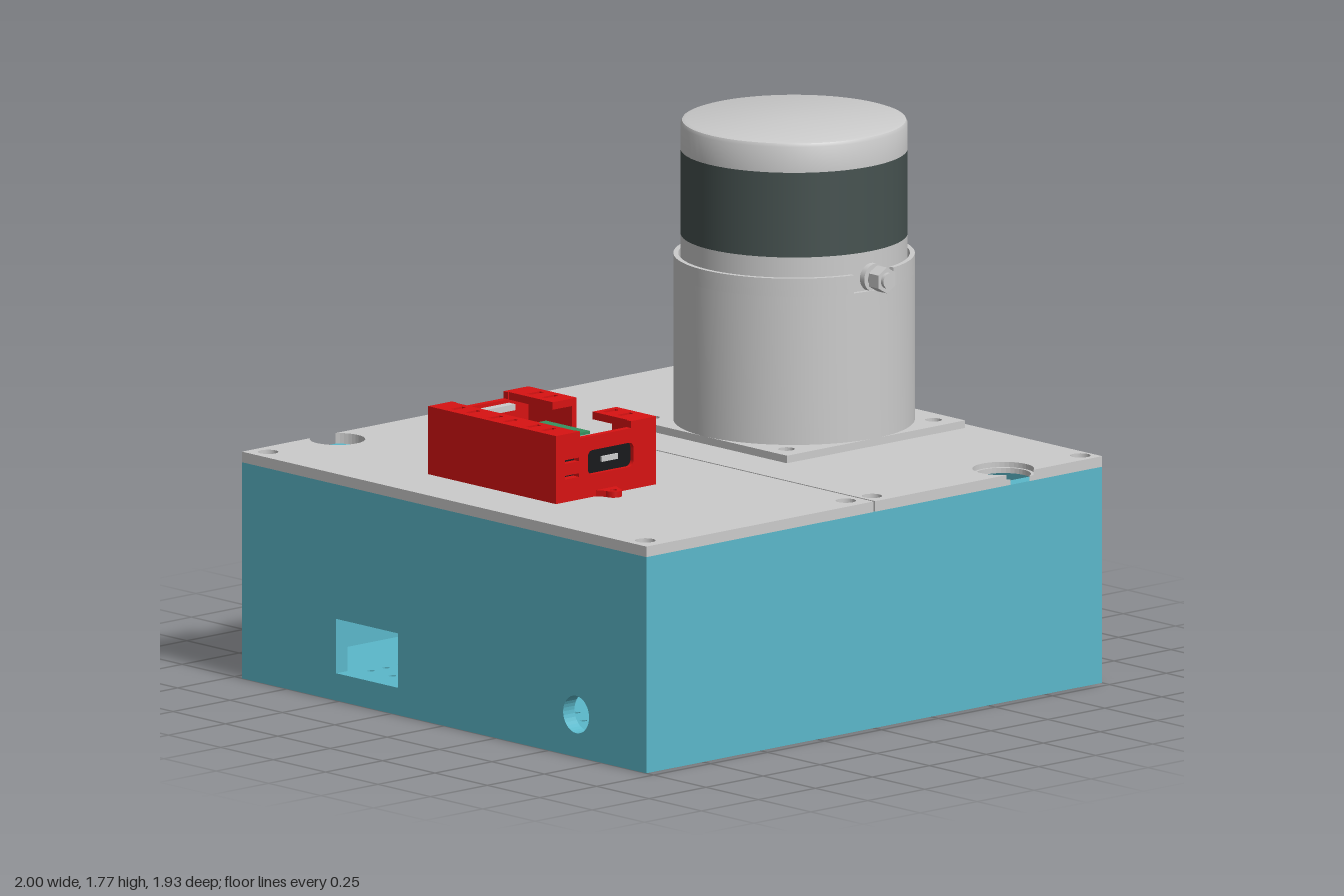
import * as THREE from 'three';
import { toCreasedNormals } from 'three/addons/utils/BufferGeometryUtils.js';

const W = 1, D = 0.965, T = 0.05;
const mat = (color) => new THREE.MeshStandardMaterial({ color });
const grey = mat(0xcccccc), teal = mat(0x5bb8ca), red = mat(0xd81212);
const dark = mat(0x465250), black = mat(0x181a1c), green = mat(0x36925f);

function add(parent, name, geo, material, x = 0, y = 0, z = 0) {
  const m = new THREE.Mesh(geo, material);
  m.name = name;
  m.position.set(x, y, z);
  parent.add(m);
  return m;
}

// Box given by its limits
function block(parent, name, material, x0, x1, y0, y1, z0, z1) {
  return add(parent, name, new THREE.BoxGeometry(x1 - x0, y1 - y0, z1 - z0), material,
    (x0 + x1) / 2, (y0 + y1) / 2, (z0 + z1) / 2);
}

function rect(x0, x1, y0, y1, Kind = THREE.Shape) {
  const s = new Kind();
  s.moveTo(x0, y0); s.lineTo(x1, y0); s.lineTo(x1, y1); s.lineTo(x0, y1); s.closePath();
  return s;
}
const hole = (x0, x1, y0, y1) => rect(x0, x1, y0, y1, THREE.Path);
const circle = (x, y, r) => new THREE.Path().absarc(x, y, r, 0, Math.PI * 2, true);

function extrude(shape, depth, segments = 16) {
  return new THREE.ExtrudeGeometry(shape, { depth, bevelEnabled: false, curveSegments: segments });
}
// Horizontal plate: shape coordinates are (x, -z), bottom at y = 0
const plate = (shape, h, segments) => extrude(shape, h, segments).rotateX(-Math.PI / 2);
// Side wall: shape coordinates are (-z, y), thickness runs along +x
const sideWall = (shape) => extrude(shape, T).rotateY(Math.PI / 2);

function buildCase() {
  const g = new THREE.Group();
  g.name = 'case';
  // Floor with groups of ventilation holes
  const floor = rect(-W, W, -D, D);
  for (const [x0, z0, rows] of [[0.11, -0.6, 4], [-0.77, -0.6, 5], [-0.77, 0.31, 5]])
    for (let r = 0; r < rows; r++)
      for (let i = 0; i < 11; i++) floor.holes.push(circle(x0 + i * 0.066, -(z0 + r * 0.103), 0.013));
  add(g, 'ventedFloor', plate(floor, T, 3), teal);

  // Front and back walls
  for (const s of [-1, 1]) block(g, s > 0 ? 'frontWall' : 'backWall', teal, -W, W, T, 0.715,
    s > 0 ? D - T : -D, s > 0 ? D : -D + T);

  // Side walls with their ports
  const a = rect(-D + T, D - T, T, 0.715);
  a.holes.push(circle(-0.015, 0.445, 0.062), hole(-0.22, 0.22, 0.31, 0.35),
    circle(-0.165, 0.275, 0.012), circle(0.165, 0.275, 0.012));
  add(g, 'slottedWall', sideWall(a), teal, W - T);
  const b = rect(-D + T, D - T, T, 0.715);
  b.holes.push(circle(-0.63, 0.14, 0.062), hole(0.22, 0.515, 0.09, 0.27));
  add(g, 'portWall', sideWall(b), teal, -W);
  // Screw posts under the lids
  for (const x of [-0.94, 0, 0.94]) for (const z of [-0.9, 0.9])
    block(g, 'screwPost', teal, x - (x ? 0.05 : 0.11), x + (x ? 0.05 : 0.11), T, 0.69, z - 0.05, z + 0.05);
  return g;
}

// Lid layer with a round bite out of its back (s = 1) or front (s = -1) edge
function lidShape(x0, x1, s, bx, bz, r, screws, screwR, through) {
  const c = -bz, half = Math.acos((D - Math.abs(c)) / r), mid = s * Math.PI / 2;
  const p = new THREE.Shape();
  if (s > 0) {
    p.moveTo(x0, D); p.lineTo(x0, -D); p.lineTo(x1, -D); p.lineTo(x1, D);
  } else {
    p.moveTo(x1, -D); p.lineTo(x1, D); p.lineTo(x0, D); p.lineTo(x0, -D);
  }
  p.absarc(bx, c, r, mid - half, mid + half - Math.PI * 2, true);
  p.closePath();
  for (const [x, z] of screws) p.holes.push(circle(x, -z, screwR));
  for (const [x, z] of through) p.holes.push(circle(x, -z, 0.02));
  return p;
}

const mounts = [[0.245, -0.365], [0.89, -0.365], [0.245, 0.28], [0.89, 0.28]];

function buildLids() {
  const g = new THREE.Group();
  g.name = 'lids';
  const left = [[-0.94, -0.905], [-0.06, -0.905], [-0.94, 0.895], [-0.06, 0.895]];
  const right = [[0.07, -0.905], [0.955, -0.925], [0.05, 0.9], [0.955, 0.91]];
  // Two layers each, so the screw holes are counterbored
  [[0.715, 0.02, 0.09], [0.7325, 0.033, 0.1]].forEach(([y, sr, br]) => {
    add(g, 'moduleLid', plate(lidShape(-W, -0.004, 1, -0.645, -0.895, 0.09, left, sr, []), 0.0175), grey, 0, y);
    add(g, 'scannerLid', plate(lidShape(0.004, W, -1, 0.64, 0.885, br, right, sr, mounts), 0.0175), grey, 0, y);
  });
  return g;
}

// Wall of a round tube between two angles
function arcWall(r0, r1, a0, a1, h) {
  const s = new THREE.Shape();
  s.absarc(0, 0, r1, a0, a1, false);
  s.absarc(0, 0, r0, a1, a0, true);
  s.closePath();
  return toCreasedNormals(plate(s, h, 40), 0.5);
}

function buildScanner() {
  const g = new THREE.Group();
  g.name = 'scanner';
  const cx = 0.568, cz = -0.035;
  // Mounting plate
  const base = rect(0.178, 0.96, -0.355, 0.43);
  for (const [x, z] of mounts) base.holes.push(circle(x, -z, 0.027));
  add(g, 'mountingPlate', plate(base, 0.025), grey, 0, 0.75);

  // Sleeve, notched at front and back
  const ring = new THREE.Shape().absarc(0, 0, 0.39, 0, Math.PI * 2, false);
  ring.holes.push(circle(0, 0, 0.374));
  add(g, 'sleeve', toCreasedNormals(plate(ring, 0.49, 64), 0.5), grey, cx, 0.775, cz);
  const n = 0.226, q = Math.PI / 2;
  for (const s of [-1, 1])
    add(g, 'sleeveRim', arcWall(0.374, 0.39, s * q + n, s * q + Math.PI - n, 0.06), grey, cx, 1.265, cz);

  // Rotating head: body, dark window band and cap
  const drum = (name, y0, y1, m) => add(g, name,
    new THREE.CylinderGeometry(0.367, 0.367, y1 - y0, 64), m, cx, (y0 + y1) / 2, cz);
  drum('body', 0.775, 1.39, grey);
  drum('windowBand', 1.39, 1.67, dark);
  const cap = [[0, 0], [0.367, 0], [0.367, 0.085], [0.362, 0.096], [0.351, 0.1], [0, 0.1]];
  add(g, 'cap', toCreasedNormals(new THREE.LatheGeometry(cap.map((p) => new THREE.Vector2(...p)), 64), 0.5),
    grey, cx, 1.67, cz);

  // Cable connector on the front
  const rod = (name, r, z0, z1, sides) => add(g, name,
    new THREE.CylinderGeometry(r, r, z1 - z0, sides).rotateX(Math.PI / 2), grey, cx, 1.305, (z0 + z1) / 2);
  rod('connectorFlange', 0.046, 0.3, 0.35, 32);
  rod('connectorNeck', 0.03, 0.35, 0.362, 24);
  const nut = rod('connectorNut', 0.043, 0.362, 0.408, 6);
  nut.material = grey.clone();
  nut.material.flatShading = true;
  rod('connectorTip', 0.026, 0.408, 0.42, 24);
  return g;
}

function buildModule() {
  const g = new THREE.Group();
  g.name = 'electronicsModule';
  const x0 = -0.785, x1 = -0.345;
  block(g, 'tray', red, x0, x1, 0.75, 0.78, -0.31, 0.3);

  // End walls; the front one has a rounded window
  const end = (window) => {
    const s = new THREE.Shape([[x0, 0.78], [x1, 0.78], [x1, 0.975], [-0.455, 0.975], [-0.455, 0.952],
      [-0.68, 0.952], [-0.68, 0.975], [x0, 0.975]].map((p) => new THREE.Vector2(...p)));
    if (window) {
      const w = new THREE.Path(), r = 0.02;
      w.absarc(-0.625, 0.845, r, -Math.PI / 2, -Math.PI, true);
      w.absarc(-0.625, 0.885, r, Math.PI, Math.PI / 2, true);
      w.absarc(-0.465, 0.885, r, Math.PI / 2, 0, true);
      w.absarc(-0.465, 0.845, r, 0, -Math.PI / 2, true);
      s.holes.push(w, hole(-0.745, -0.685, 0.825, 0.837), hole(-0.745, -0.685, 0.877, 0.889));
    }
    return extrude(s, 0.022);
  };
  add(g, 'frontEnd', end(true), red, 0, 0, 0.278);
  add(g, 'backEnd', end(false), red, 0, 0, -0.31);
  block(g, 'socketFrame', black, -0.65, -0.44, 0.815, 0.915, 0.25, 0.285);
  block(g, 'socket', grey, -0.575, -0.505, 0.857, 0.875, 0.28, 0.292);
  for (const z of [-0.29, 0.25]) block(g, 'endLining', grey, -0.685, -0.45, 0.92, 0.94, z, z + 0.032);

  // Slotted rails: full length on one side, stepped down in the middle on the other
  const rail = (xa, xb, za, zb, y) => {
    const s = rect(xa, xb, -zb, -za);
    for (const z of [-0.22, -0.15, -0.04, 0.03, 0.14, 0.21])
      if (z > za && z < zb) s.holes.push(hole(xa + 0.025, xb - 0.025, -z - 0.01, -z + 0.01));
    add(g, 'slottedRail', plate(s, 0.025), red, 0, y);
  };
  rail(x0, -0.685, -0.288, 0.278, 0.95);
  block(g, 'closedSide', red, x0, x0 + 0.02, 0.78, 0.95, -0.288, 0.278);
  for (const [za, zb] of [[-0.288, -0.08], [0.11, 0.278]]) {
    rail(-0.45, x1, za, zb, 0.95);
    block(g, 'openSidePost', red, x1 - 0.02, x1, 0.78, 0.95, za, zb);
    block(g, 'clip', red, x1, x1 + 0.008, 0.8, 0.85, za + 0.05, zb - 0.04);
  }
  rail(-0.45, x1, -0.08, 0.11, 0.8);

  // Screw tabs at both ends
  for (const s of [-1, 1]) {
    const t = new THREE.Shape();
    t.moveTo(-0.045, 0); t.lineTo(0.045, 0); t.lineTo(0.028, 0.03);
    t.absarc(0, 0.035, 0.028, 0, Math.PI, false);
    t.closePath();
    t.holes.push(circle(0, 0.035, 0.012));
    const tab = add(g, 'screwTab', plate(t, 0.02), red, -0.565, 0.75, s > 0 ? 0.3 : -0.31);
    tab.rotation.y = s > 0 ? Math.PI : 0;
  }

  // Circuit stack
  block(g, 'circuitBody', black, -0.66, -0.455, 0.78, 0.87, -0.13, 0.12);
  block(g, 'displayFrame', grey, -0.665, -0.45, 0.87, 0.9, -0.13, 0.12);
  block(g, 'display', green, -0.645, -0.452, 0.9, 0.91, -0.11, 0.1);
  return g;
}

export function createModel() {
  const model = new THREE.Group();
  model.name = 'sensorBox';
  model.add(buildCase(), buildLids(), buildScanner(), buildModule());
  return model;
}
